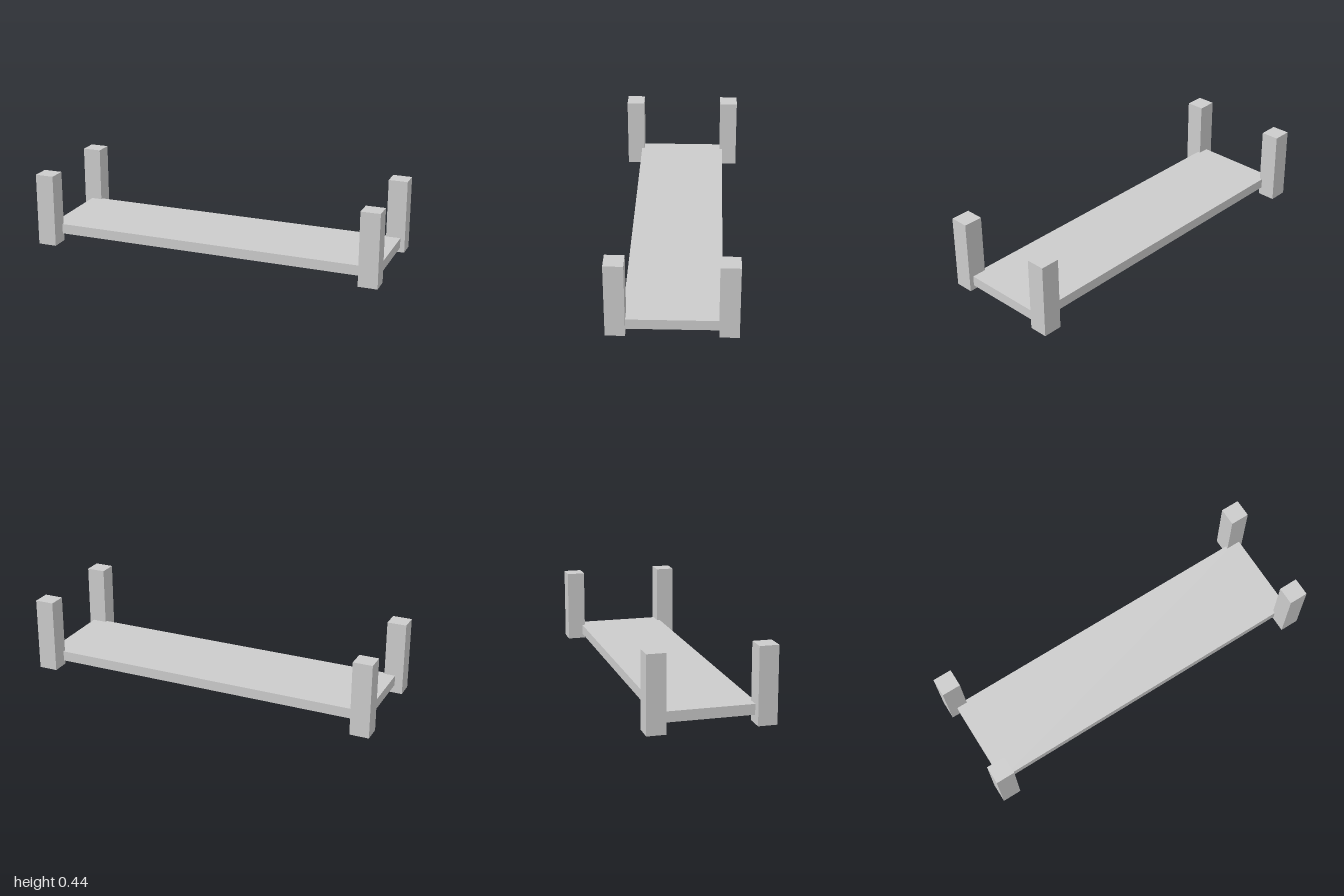
import * as THREE from 'three';

const material = new THREE.MeshStandardMaterial({ color: 0xcccccc, flatShading: true });

// Box given by its lower and upper corners
function block(name, min, max) {
  const size = max.map((v, i) => v - min[i]);
  const mesh = new THREE.Mesh(new THREE.BoxGeometry(...size), material);
  mesh.position.set(...max.map((v, i) => (v + min[i]) / 2));
  mesh.name = name;
  return mesh;
}

export function createModel() {
  const group = new THREE.Group();
  group.name = 'bedFrame';

  // Flat board, reaching into the four posts
  group.add(block('board', [-0.955, 0.047, -0.253], [0.975, 0.104, 0.253]));

  // Corner posts; the left pair sits slightly higher
  const width = 0.107, depth = 0.103, height = 0.414;
  for (const [side, sx, lift] of [['Right', -1, 0], ['Left', 1, 0.021]]) {
    for (const [end, sz] of [['front', 1], ['back', -1]]) {
      const x = sx * (1 - width / 2), z = sz * (0.34 - depth / 2);
      group.add(block(`${end}${side}Post`,
        [x - width / 2, lift, z - depth / 2],
        [x + width / 2, lift + height, z + depth / 2]));
    }
  }
  return group;
}
